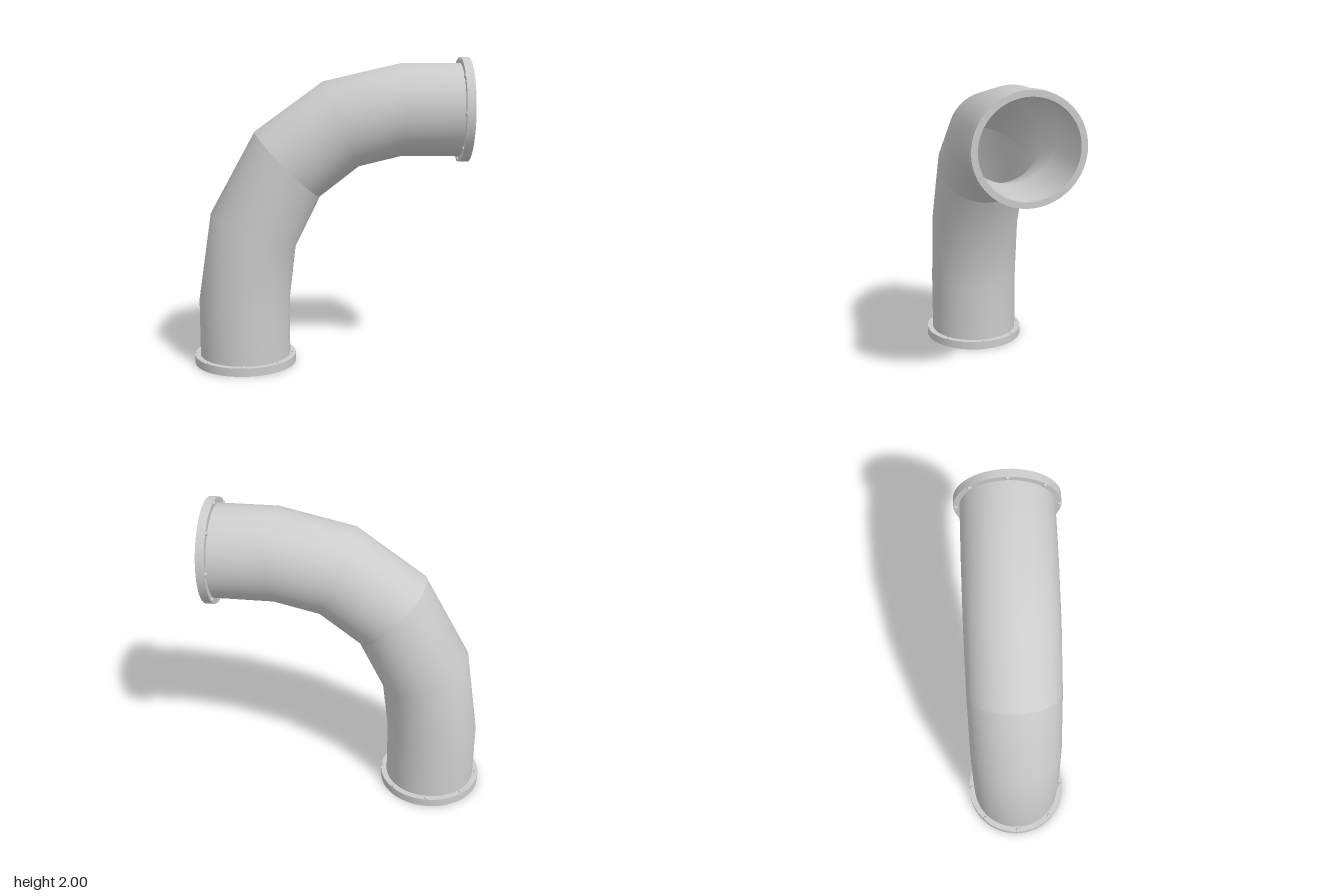
import * as THREE from 'three';
import { toCreasedNormals } from 'three/addons/utils/BufferGeometryUtils.js';

const RADIUS = 0.297, SIDES = 64;
const FLANGE_RADIUS = 0.335, FLANGE_HEIGHT = 0.055, BOLT_CIRCLE = 0.32;

const pipeMaterial = new THREE.MeshStandardMaterial({ color: 0xcccccc, side: THREE.DoubleSide });
const metal = new THREE.MeshStandardMaterial({ color: 0xcccccc });

// Mitre rings of the bend: outer x, y and inner x, y in the plane z = 0
const rings = [
  [-0.855, 0.05, -0.26, 0.05],
  [-0.855, 0.43, -0.26, 0.43],
  [-0.77, 1.0, -0.22, 0.78],
  [-0.48, 1.53, -0.06, 1.11],
  [-0.04, 1.85, 0.19, 1.305],
  [0.46, 1.965, 0.46, 1.37],
  [0.84, 1.965, 0.84, 1.37],
];

// Open tube skinned over a run of elliptical rings
function pipeSection(name, sections) {
  const positions = [], index = [];
  sections.forEach(([ox, oy, ix, iy], i) => {
    for (let j = 0; j < SIDES; j++) {
      const t = (j / SIDES) * Math.PI * 2, c = Math.cos(t);
      positions.push(
        (ox + ix) / 2 + ((ox - ix) / 2) * c,
        (oy + iy) / 2 + ((oy - iy) / 2) * c,
        RADIUS * Math.sin(t),
      );
      if (i === 0) continue;
      const next = (j + 1) % SIDES, lo = (i - 1) * SIDES, hi = i * SIDES;
      index.push(lo + j, lo + next, hi + j, lo + next, hi + next, hi + j);
    }
  });
  const geometry = new THREE.BufferGeometry();
  geometry.setAttribute('position', new THREE.Float32BufferAttribute(positions, 3));
  geometry.setIndex(index);
  geometry.computeVertexNormals();
  const mesh = new THREE.Mesh(geometry, pipeMaterial);
  mesh.name = name;
  return mesh;
}

// Flat ring with eight domed bolts on the side facing the pipe (+y)
function flange(name) {
  const group = new THREE.Group();
  group.name = name;
  const profile = [
    [RADIUS, 0], [FLANGE_RADIUS, 0], [FLANGE_RADIUS, FLANGE_HEIGHT], [RADIUS, FLANGE_HEIGHT], [RADIUS, 0],
  ].map(([x, y]) => new THREE.Vector2(x, y));
  const ring = new THREE.Mesh(toCreasedNormals(new THREE.LatheGeometry(profile, SIDES), 0.6), metal);
  ring.name = 'flangeRing';
  group.add(ring);

  const boltGeometry = new THREE.SphereGeometry(0.014, 12, 6, 0, Math.PI * 2, 0, Math.PI / 2);
  boltGeometry.scale(1, 0.75, 1);
  for (let i = 0; i < 8; i++) {
    const a = (i / 8) * Math.PI * 2;
    const bolt = new THREE.Mesh(boltGeometry, metal);
    bolt.name = 'bolt';
    bolt.position.set(BOLT_CIRCLE * Math.cos(a), FLANGE_HEIGHT, BOLT_CIRCLE * Math.sin(a));
    group.add(bolt);
  }
  return group;
}

export function createModel() {
  const model = new THREE.Group();
  model.name = 'pipeElbow';

  // Two halves meet in a sharp seam at the middle mitre
  model.add(pipeSection('lowerPipe', rings.slice(0, 4)));
  model.add(pipeSection('upperPipe', rings.slice(3)));

  const base = flange('baseFlange');
  base.position.set(-0.557, 0, 0);

  const end = flange('endFlange');
  end.position.set(0.89, 1.667, 0);
  end.rotation.z = Math.PI / 2;

  model.add(base, end);
  return model;
}
